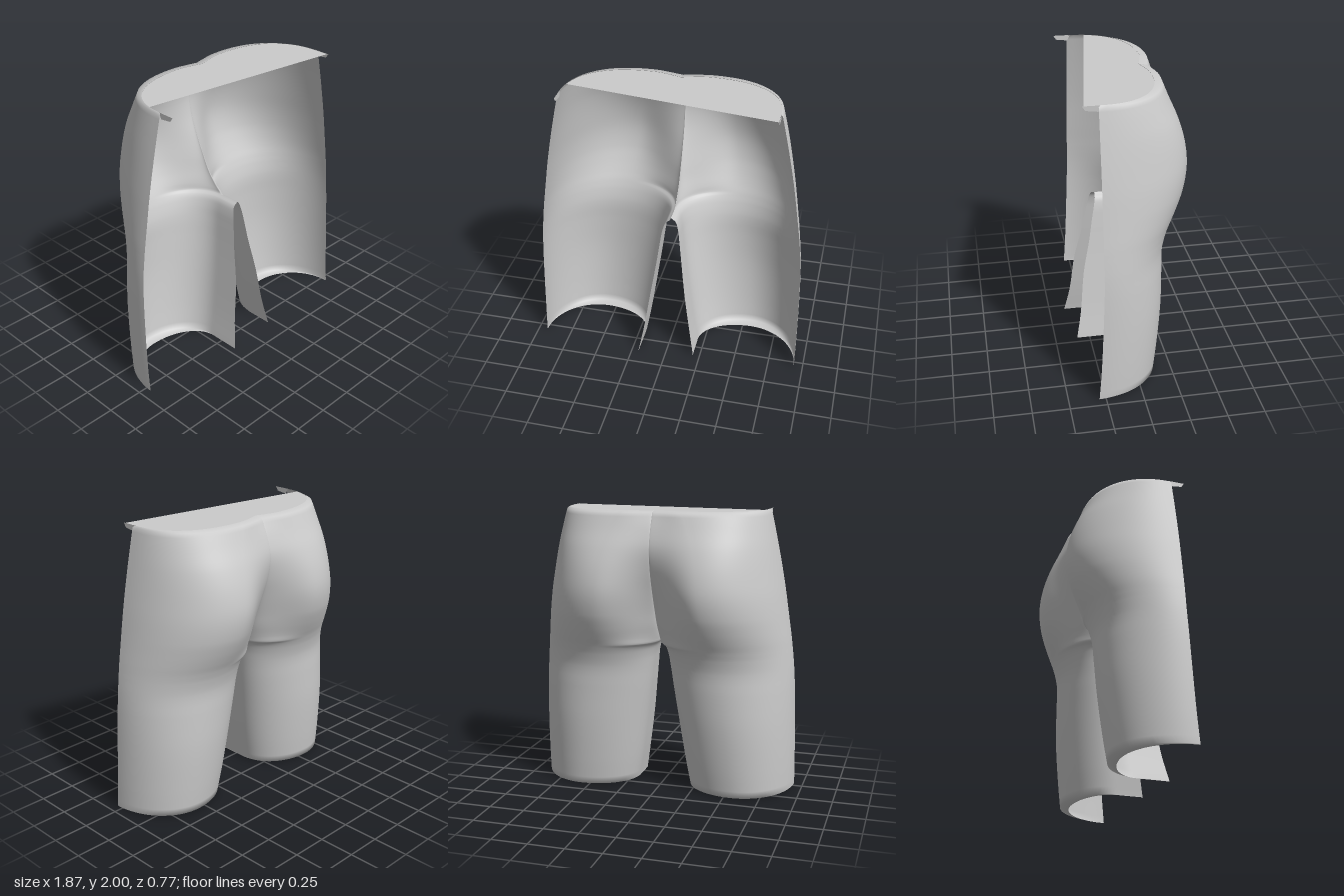
import * as THREE from 'three';
import { mergeVertices } from 'three/addons/utils/BufferGeometryUtils.js';

// Half cross-sections by height:
// y, outer x, outer front z, back peak x, back peak z, inner x, inner z, roundness, inner front z
const HEM_ROW = [0, 0.935, 0.295, 0.56, -0.075, 0.2, 0.16, 1, 0.385];
const LEG_ROWS = [
  [0.005, 0.937, 0.295, 0.56, -0.14, 0.2, 0.14, 1, 0.385],
  [0.2, 0.937, 0.28, 0.54, -0.165, 0.165, 0.13, 1, 0.345],
  [0.5, 0.933, 0.265, 0.51, -0.193, 0.12, 0.11, 1, 0.31],
  [0.75, 0.926, 0.255, 0.47, -0.202, 0.085, 0.085, 1, 0.255],
  [0.9, 0.917, 0.25, 0.44, -0.208, 0.066, 0.07, 1, 0.23],
  [1.0, 0.907, 0.25, 0.425, -0.232, 0.05, 0.06, 1, 0.21],
  [1.05, 0.901, 0.25, 0.418, -0.251, 0.03, 0.055, 1, 0.2],
  [1.075, 0.898, 0.25, 0.414, -0.262, 0, 0.05, 1, 0.2],
];
const HIP_ROWS = [
  [1.12, 0.892, 0.25, 0.405, -0.285, 0, 0.0, 0.8, 0.2],
  [1.2, 0.88, 0.25, 0.39, -0.323, 0, -0.07, 0.55, 0.2],
  [1.3, 0.865, 0.25, 0.375, -0.361, 0, -0.125, 0.35, 0.2],
  [1.45, 0.842, 0.25, 0.355, -0.386, 0, -0.195, 0.2, 0.2],
  [1.6, 0.815, 0.25, 0.34, -0.371, 0, -0.25, 0.15, 0.2],
  [1.75, 0.785, 0.25, 0.31, -0.328, 0, -0.272, 0.15, 0.2],
  [1.88, 0.757, 0.25, 0.26, -0.273, 0, -0.24, 0.2, 0.2],
  [1.99, 0.732, 0.25, 0.21, -0.23, 0, -0.19, 0.3, 0.2],
];
const RIM_ROW = [2.0, 0.72, 0.24, 0.2, -0.178, 0, -0.13, 0.4, 0.2];
const CROTCH_Y = 1.075, OUT = 24, BACK = 20, INNER = 8;

// Points from the outer front edge, round the back, to the inner front edge
function section([y, w, zf, xc, zb, xi, zi, round, zin], innerReach) {
  const pts = [];
  const power = 1 - 0.15 * THREE.MathUtils.smoothstep(y, 1.5, 2); // squarer towards the waist
  for (let i = 0; i <= OUT; i++) {
    const a = (i / OUT) * Math.PI / 2;
    const c = Math.max(0, Math.cos(a)) ** power, s = Math.sin(a) ** power;
    pts.push([xc + (w - xc) * c, y, zf + (zb - zf) * s]);
  }
  for (let i = 1; i <= BACK; i++) {
    const a = (i / BACK) * Math.PI / 2, s = Math.sin(a);
    const ellipse = 1 - Math.cos(a), wave = (1 - Math.cos(Math.PI * s)) * 0.35 + s * s * 0.3;
    pts.push([xc + (xi - xc) * s, y, zb + (zi - zb) * (round * ellipse + (1 - round) * wave)]);
  }
  if (innerReach > 0) {
    for (let i = 1; i <= INNER; i++) pts.push([xi, y, zi + (zin - zi) * innerReach * i / INNER]);
  }
  return pts;
}

// Smoothly resample the rows by height
function resample(rows, n) {
  const size = rows[0].length - 1;
  const spline = new THREE.CubicInterpolant(
    rows.map((r) => r[0]), rows.flatMap((r) => r.slice(1)), size, new Float32Array(size));
  const out = [];
  for (let i = 0; i < rows.length - 1; i++) {
    for (let j = 0; j < n; j++) {
      const y = THREE.MathUtils.lerp(rows[i][0], rows[i + 1][0], j / n);
      const v = Array.from(spline.evaluate(y));
      v[4] = y >= CROTCH_Y ? 0 : Math.max(0, v[4]);
      out.push([y, ...v]);
    }
  }
  out.push(rows[rows.length - 1]);
  return out;
}

function shellGeometry() {
  const pos = [], index = [];
  const addSheet = (rows, innerReach, mirror) => {
    const rings = rows.map((r) => section(r, innerReach));
    const base = pos.length / 3, n = rings[0].length;
    rings.flat().forEach(([x, y, z]) => pos.push(x * mirror, y, z));
    for (let r = 0; r < rings.length - 1; r++) {
      for (let c = 0; c < n - 1; c++) {
        const a = base + r * n + c, b = a + 1, d = a + n, e = d + 1;
        if (mirror > 0) index.push(a, b, e, a, e, d);
        else index.push(a, e, b, a, d, e);
      }
    }
  };
  const rows = resample([...LEG_ROWS, ...HIP_ROWS], 4);
  const split = rows.findIndex((r) => r[0] >= CROTCH_Y);
  for (const side of [1, -1]) {
    // The left leg's inner panel is a little shorter than the right one
    addSheet([HEM_ROW, ...rows.slice(0, split + 1)], side > 0 ? 0.82 : 1, side);
    addSheet([...rows.slice(split), RIM_ROW], 0, side);
  }
  const geo = new THREE.BufferGeometry();
  geo.setAttribute('position', new THREE.Float32BufferAttribute(pos, 3));
  geo.setIndex(index);
  const merged = mergeVertices(geo, 1e-4);
  merged.computeVertexNormals();
  return merged;
}

// Flat sheet closing the waist, with a slanted front edge
function waistSheetGeometry() {
  const half = section(RIM_ROW, 0).map(([x, , z]) => [x, z]);
  const outline = [
    ...half,
    ...half.slice(0, -1).reverse().map(([x, z]) => [-x, z]).filter(([, z]) => z < 0.13),
    [-0.71, 0.13],
    [0.72, 0.34],
  ];
  const shape = new THREE.Shape(outline.map(([x, z]) => new THREE.Vector2(x, -z)));
  return new THREE.ShapeGeometry(shape).rotateX(-Math.PI / 2).translate(0, 1.998, 0);
}

export function createModel() {
  const model = new THREE.Group();
  const material = new THREE.MeshStandardMaterial({ color: 0xcccccc, side: THREE.DoubleSide });
  const add = (name, geometry) => {
    const mesh = new THREE.Mesh(geometry, material);
    mesh.name = name;
    model.add(mesh);
    return mesh;
  };

  add('hipsAndThighs', shellGeometry());
  add('waistSheet', waistSheetGeometry());

  // Small loose tabs at the front ends of the waist
  const tab = new THREE.Shape([[0.23, 2], [0.35, 2], [0.33, 1.97], [0.25, 1.96]]
    .map(([z, y]) => new THREE.Vector2(-z, y)));
  for (const side of [1, -1]) {
    add(side > 0 ? 'leftWaistTab' : 'rightWaistTab', new THREE.ShapeGeometry(tab).rotateY(Math.PI / 2))
      .position.x = side * 0.722;
  }
  return model;
}
